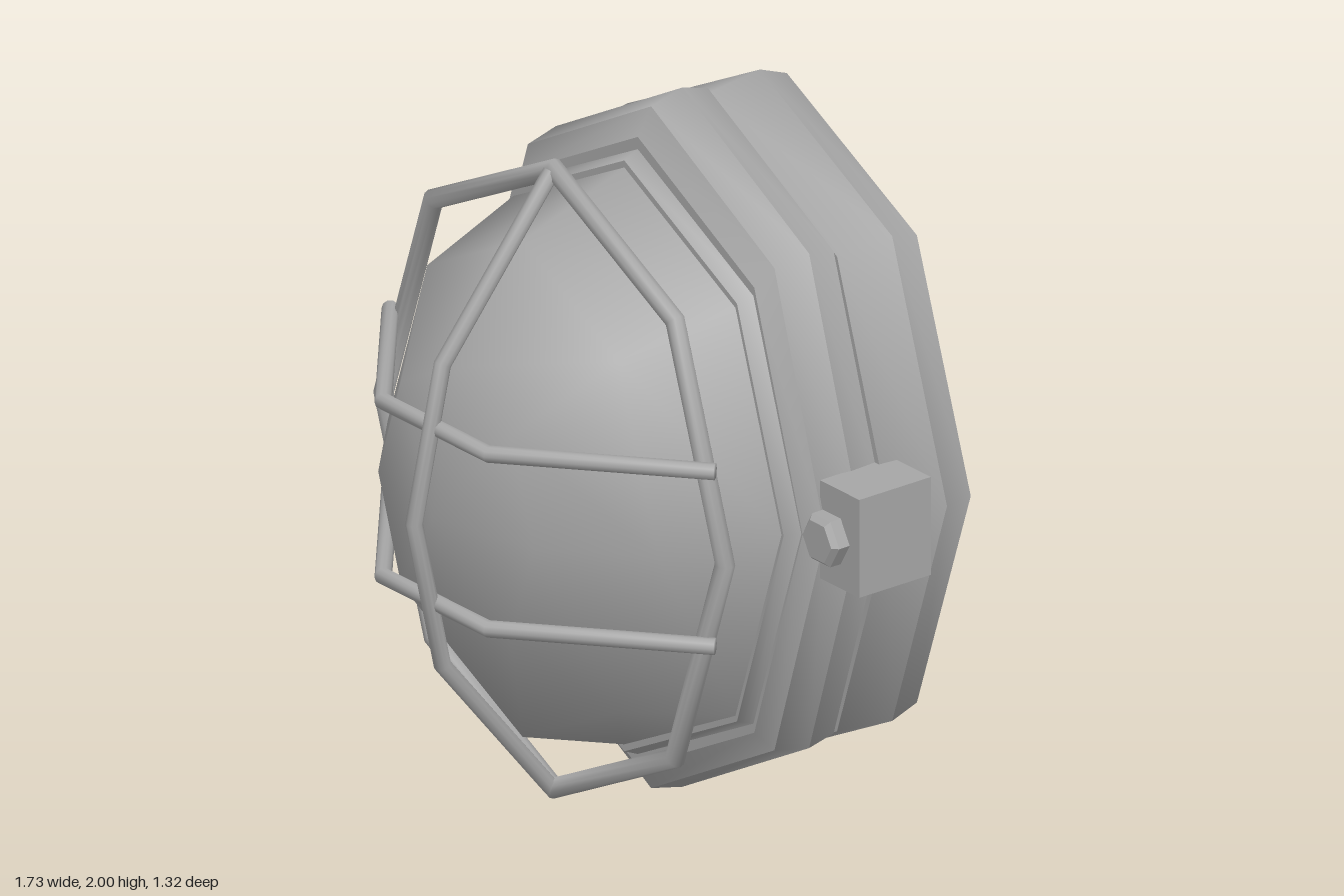
import * as THREE from 'three';
import { mergeGeometries, mergeVertices } from 'three/addons/utils/BufferGeometryUtils.js';

// Skin a list of rings (each an array of Vector3, counter-clockwise about the travel direction)
function skin(rings, closed = false) {
  const n = rings[0].length, count = rings.length, index = [];
  for (let i = 0; i < (closed ? count : count - 1); i++) {
    for (let j = 0; j < n; j++) {
      const k = (j + 1) % n, next = ((i + 1) % count) * n;
      const a = i * n + j, b = i * n + k, c = next + k, d = next + j;
      index.push(a, b, c, a, c, d);
    }
  }
  let g = new THREE.BufferGeometry().setFromPoints(rings.flat());
  g.setIndex(index);
  g = mergeVertices(g, 1e-5);
  g.computeVertexNormals();
  return g;
}

// Eight-sided stretched ring with a corner at the top
function octagon(z, rx, ry) {
  return Array.from({ length: 8 }, (_, i) => {
    const a = i * Math.PI / 4;
    return new THREE.Vector3(rx * Math.cos(a), ry * Math.sin(a), z);
  });
}

// Stepped shell: sections are [z, half width, half height], with a crease at every section
function bands(sections) {
  const parts = [];
  for (let i = 0; i < sections.length - 1; i++) {
    parts.push(skin([octagon(...sections[i]), octagon(...sections[i + 1])]));
  }
  return mergeGeometries(parts);
}

// Round bar with mitred corners along a path lying in the plane whose normal is given
function bar(points, normal, radius, closed = false) {
  const last = points.length - 1;
  const rings = points.map((p, i) => {
    const prev = i > 0 ? points[i - 1] : closed ? points[last] : null;
    const next = i < last ? points[i + 1] : closed ? points[0] : null;
    const tOut = next ? next.clone().sub(p).normalize() : p.clone().sub(prev).normalize();
    const tIn = prev ? p.clone().sub(prev).normalize() : tOut.clone();
    const t = tIn.clone().add(tOut).normalize();
    const side = normal.clone().cross(t).multiplyScalar(radius / t.dot(tOut));
    return Array.from({ length: 10 }, (_, j) => {
      const a = j * Math.PI / 5;
      return p.clone().addScaledVector(side, Math.cos(a)).addScaledVector(normal, radius * Math.sin(a));
    });
  });
  if (!closed) {
    rings.unshift(rings[0].map(() => points[0].clone()));
    rings.push(rings[1].map(() => points[last].clone()));
  }
  return skin(rings, closed);
}

export function createModel() {
  const model = new THREE.Group();
  model.name = 'bulkheadLamp';
  const grey = new THREE.MeshStandardMaterial({ color: 0xa6a6a6 });
  grey.name = 'grey';

  const add = (name, geometry, x = 0, y = 0, z = 0) => {
    const mesh = new THREE.Mesh(geometry, grey);
    mesh.name = name;
    mesh.position.set(x, y, z);
    model.add(mesh);
    return mesh;
  };

  // Housing, front ring and lip
  add('housing', bands([
    [-0.66, 0, 0], [-0.66, 0.66, 0.82], [-0.61, 0.77, 0.945],
    [-0.52, 0.783, 0.98], [-0.345, 0.765, 0.96], [-0.345, 0.6, 0.8],
  ]), 0, 1);
  add('frontRing', bands([
    [-0.345, 0.6, 0.8], [-0.345, 0.745, 0.975], [-0.26, 0.75, 1],
    [-0.155, 0.73, 0.975], [-0.11, 0.69, 0.9], [-0.11, 0.6, 0.75],
  ]), 0, 1);
  add('lip', bands([
    [-0.11, 0.685, 0.865], [-0.065, 0.667, 0.845], [-0.065, 0.6, 0.75],
  ]), 0, 1);

  // Smooth lens dome
  add('lens', skin([
    [-0.065, 0.658, 0.825], [0.276, 0.565, 0.71], [0.5, 0.325, 0.41], [0.58, 0, 0],
  ].map(s => octagon(...s))), 0, 1);

  // Guard cage: rim, one upright bar and two cross bars
  const V = (x, y, z) => new THREE.Vector3(x, y, z);
  add('guardRim', bar(octagon(0.17, 0.715, 0.885), V(0, 0, 1), 0.027, true), 0, 1);
  add('guardUpright', bar(
    [[-0.88, 0.18], [-0.43, 0.545], [0, 0.64], [0.43, 0.545], [0.88, 0.18]].map(([y, z]) => V(0, y, z)),
    V(1, 0, 0), 0.023), 0, 1);
  for (const y of [0.755, 1.255]) {
    add('guardCrossBar', bar(
      [[-0.68, 0.175], [-0.22, 0.567], [0.22, 0.567], [0.68, 0.175]].map(([x, z]) => V(x, 0, z)),
      V(0, 1, 0), 0.023), 0, y);
  }

  // Side lugs with hexagonal bolt heads
  for (const s of [-1, 1]) {
    add('sideLug', new THREE.BoxGeometry(0.165, 0.28, 0.24), s * 0.7825, 1.005, -0.28);
    const head = add('boltHead', new THREE.CylinderGeometry(0.075, 0.075, 0.035, 6).toNonIndexed(), s * 0.75, 1, -0.1425);
    const top = add('boltChamfer', new THREE.CylinderGeometry(0.06, 0.075, 0.015, 6).toNonIndexed(), s * 0.75, 1, -0.1175);
    for (const m of [head, top]) {
      m.geometry.rotateY(Math.PI / 2).rotateX(Math.PI / 2);
      m.geometry.computeVertexNormals();
    }
  }
  return model;
}
